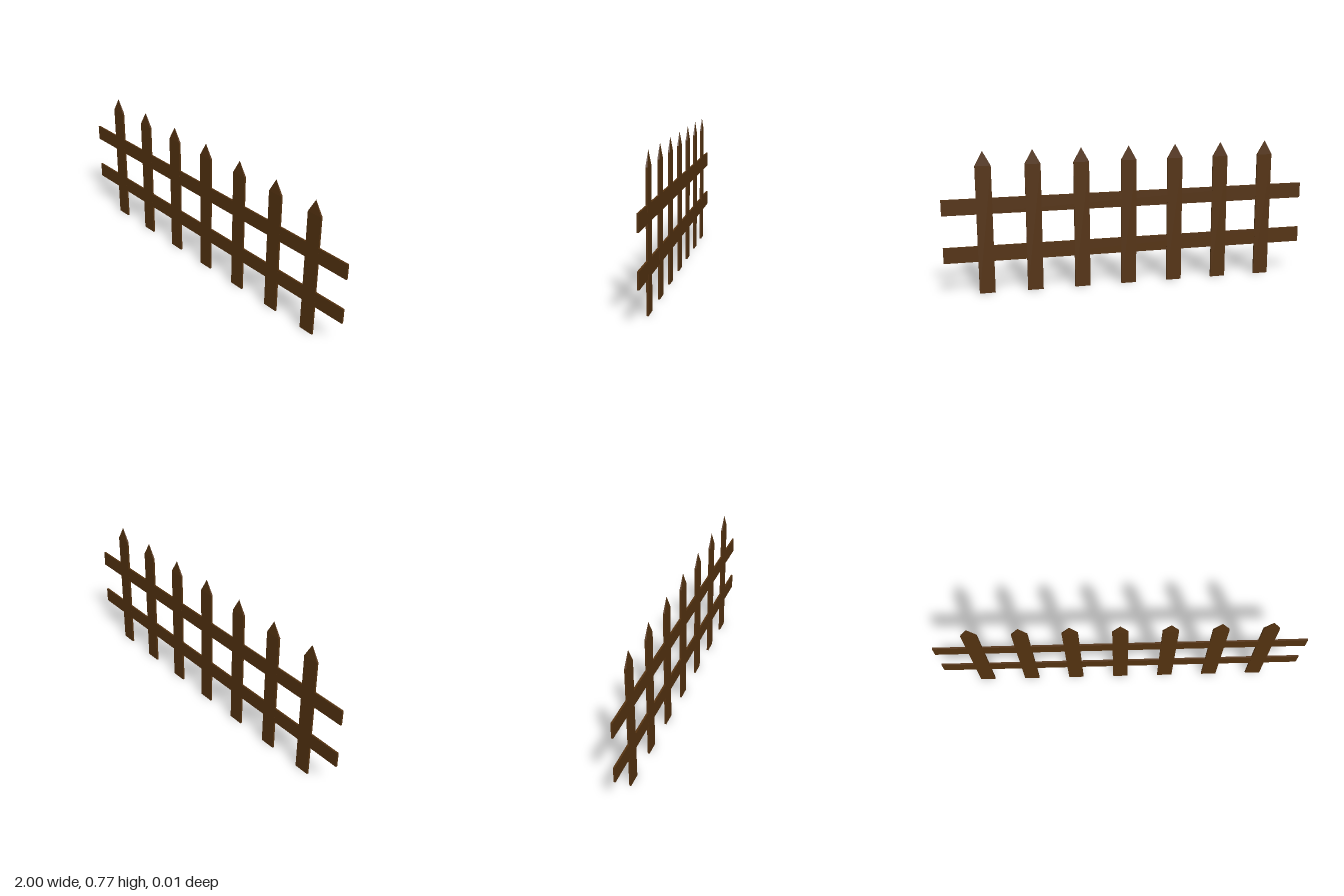
import * as THREE from 'three';

export function createModel() {
  const fence = new THREE.Group();
  fence.name = 'picketFence';
  const wood = new THREE.MeshStandardMaterial({ color: 0x543210, flatShading: true });

  const width = 0.084, depth = 0.01, shoulder = 0.692, top = 0.77;
  const count = 7, spacing = 0.259;

  function add(parent, name, geometry, x, y) {
    const mesh = new THREE.Mesh(geometry, wood);
    mesh.name = name;
    mesh.position.set(x, y, 0);
    parent.add(mesh);
  }

  // Upright board, and its flattened four-sided point
  const board = new THREE.BoxGeometry(width, shoulder, depth);
  const point = new THREE.ConeGeometry(Math.SQRT1_2, top - shoulder, 4, 1, true);
  point.rotateY(Math.PI / 4).scale(width, 1, depth);

  // Row of pickets
  for (let i = 0; i < count; i++) {
    const picket = new THREE.Group();
    picket.name = 'picket' + (i + 1);
    picket.position.x = (i - (count - 1) / 2) * spacing;
    add(picket, 'board', board, 0, shoulder / 2);
    add(picket, 'point', point, 0, (shoulder + top) / 2);
    fence.add(picket);
  }

  // Horizontal rails, a hair thinner than the pickets they cross
  const rail = new THREE.BoxGeometry(2, 0.085, depth - 0.0004);
  add(fence, 'lowerRail', rail, 0, 0.22);
  add(fence, 'upperRail', rail, 0, 0.478);

  return fence;
}
